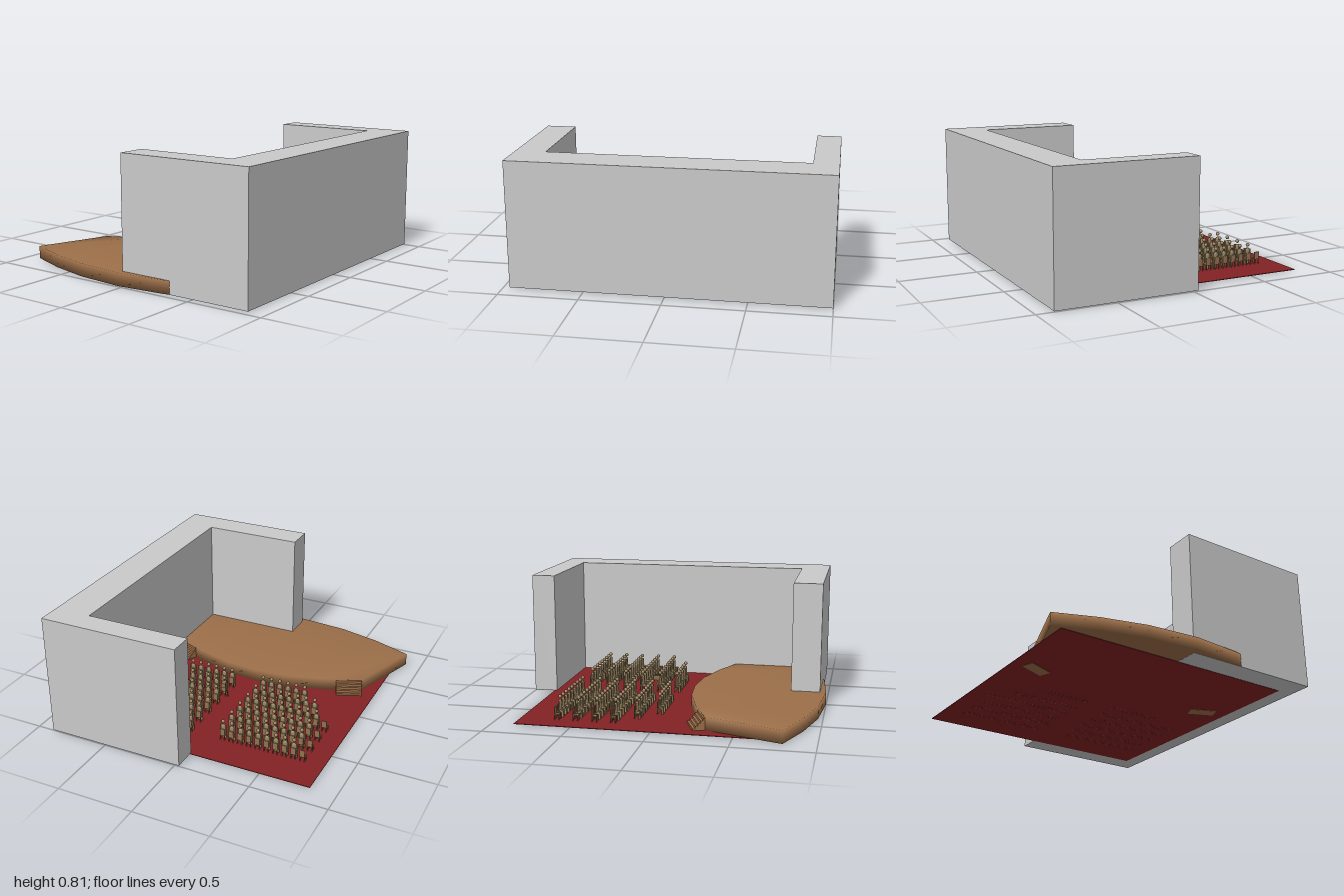
import * as THREE from 'three';

const mat = (name, color, side = THREE.FrontSide) => {
  const m = new THREE.MeshStandardMaterial({ color, side });
  m.name = name;
  return m;
};

export function createModel() {
  const root = new THREE.Group();
  root.name = 'auditorium';
  const grey = mat('wall grey', 0xcacaca);
  const red = mat('carpet red', 0x842224);
  const wood = mat('stage wood', 0x9c6f49);
  const tan = mat('chair tan', 0x8f7350);
  const skin = mat('figure tan', 0x9c8762);

  const add = (parent, name, geo, material, x = 0, y = 0, z = 0) => {
    const m = new THREE.Mesh(geo, material);
    m.name = name;
    m.position.set(x, y, z);
    parent.add(m);
    return m;
  };
  const group = (name, x, z, turn = 0) => {
    const g = new THREE.Group();
    g.name = name;
    g.position.set(x, 0, z);
    g.rotation.y = turn;
    root.add(g);
    return g;
  };

  // U-shaped wall
  const plan = [[-0.96, -0.02], [-0.96, 0.89], [1, 0.89], [1, -0.03],
    [0.845, -0.03], [0.845, 0.65], [-0.77, 0.65], [-0.77, -0.02]];
  const wallShape = new THREE.Shape(plan.map(([x, z]) => new THREE.Vector2(x, -z)));
  const wall = new THREE.ExtrudeGeometry(wallShape, { depth: 0.802, bevelEnabled: false });
  wall.rotateX(-Math.PI / 2);
  add(root, 'wall', wall, grey, 0, 0.004, 0);

  // Carpeted floor
  add(root, 'floor', new THREE.BoxGeometry(1.67, 0.004, 1.61), red, 0.025, 0.004, -0.025);

  // Curved stage: a box section swept between the back arc and the front arc
  const back = [[-0.8, -0.895], [-0.9, -0.63], [-0.97, -0.35], [-1, -0.02], [-0.97, 0.3], [-0.9, 0.58], [-0.8, 0.85]];
  const front = [[-0.32, -0.73], [-0.22, -0.5], [-0.145, -0.25], [-0.125, -0.02], [-0.145, 0.21], [-0.22, 0.46], [-0.32, 0.68]];
  const pos = [], idx = [];
  back.forEach(([bx, bz], i) => {
    const [fx, fz] = front[i];
    pos.push(bx, 0.005, bz, bx, 0.088, bz, fx, 0.088, fz, fx, 0.005, fz);
    if (i === back.length - 1) return;
    for (let j = 0; j < 4; j++) {
      const a = i * 4 + j, b = i * 4 + (j + 1) % 4;
      idx.push(a, b + 4, b, a, a + 4, b + 4);
    }
  });
  const e = (back.length - 1) * 4;
  idx.push(0, 1, 2, 0, 2, 3, e, e + 2, e + 1, e, e + 3, e + 2);
  const stage = new THREE.BufferGeometry();
  stage.setAttribute('position', new THREE.Float32BufferAttribute(pos, 3));
  stage.setIndex(idx);
  stage.computeVertexNormals();
  add(root, 'stage', stage, wood);

  // Steps at both ends of the stage front
  for (const s of [-1, 1]) {
    const stairs = group('stairs', -0.252, -0.025 + s * 0.635, -s * 0.39);
    for (let i = 0; i < 5; i++) {
      const h = 0.082 - i * 0.016;
      add(stairs, 'step', new THREE.BoxGeometry(0.0165, h, 0.175), wood, -0.032 + i * 0.016, h / 2, 0);
    }
  }

  // Shared seat and figure shapes; everyone faces the stage (-x)
  const seatGeo = new THREE.BoxGeometry(0.034, 0.006, 0.034);
  const backGeo = new THREE.BoxGeometry(0.005, 0.046, 0.034);
  const legGeo = new THREE.BoxGeometry(0.005, 0.04, 0.005);
  const torsoGeo = new THREE.CapsuleGeometry(0.017, 0.04, 3, 8);
  torsoGeo.scale(0.6, 1, 1);
  const headGeo = new THREE.SphereGeometry(0.0125, 8, 6);
  const armGeo = new THREE.CylinderGeometry(0.005, 0.005, 0.042, 6);
  const thighGeo = new THREE.BoxGeometry(0.022, 0.01, 0.01);
  const shinGeo = new THREE.BoxGeometry(0.008, 0.044, 0.01);

  const addSeat = (x, z, occupied) => {
    const chair = group('chair', x, z);
    add(chair, 'seat', seatGeo, tan, 0, 0.041, 0);
    add(chair, 'backrest', backGeo, tan, 0.0145, 0.064, 0);
    for (const sx of [-1, 1])
      for (const sz of [-1, 1]) add(chair, 'chairLeg', legGeo, tan, sx * 0.0145, 0.02, sz * 0.0145);
    if (!occupied) return;
    const person = group('person', x, z);
    add(person, 'torso', torsoGeo, skin, 0.001, 0.081, 0);
    add(person, 'head', headGeo, skin, 0, 0.137, 0);
    for (const s of [-1, 1]) {
      add(person, 'arm', armGeo, skin, 0, 0.087, s * 0.02);
      add(person, 'thigh', thighGeo, skin, -0.008, 0.049, s * 0.009);
      add(person, 'shin', shinGeo, skin, -0.0185, 0.026, s * 0.009);
    }
  };

  // Two blocks of seats either side of the aisle
  const pitch = 0.0605;
  [[6, 6], [8, 10], [10, 10], [10, 10], [10, 10], [10, 10]].forEach(([nBack, nFront], c) => {
    const x = 0.02 + c * 0.1205;
    for (let i = 0; i < nBack; i++) addSeat(x, -0.143 - i * pitch, i < 9);
    for (let i = 0; i < nFront; i++) addSeat(x, 0.092 + i * pitch, i < 9);
  });

  // Tripod in the aisle seats
  const tripod = group('tripod', 0.14, 0.09, 0.25);
  add(tripod, 'tripodHead', new THREE.BoxGeometry(0.045, 0.03, 0.03), tan, 0.025, 0.105, 0);
  add(tripod, 'lens', new THREE.CylinderGeometry(0.007, 0.007, 0.03, 8), tan, -0.01, 0.105, 0).rotation.z = Math.PI / 2;
  for (let i = 0; i < 3; i++) {
    const a = Math.PI + i * Math.PI * 2 / 3;
    const foot = new THREE.Vector3(Math.cos(a) * 0.035, 0.001, Math.sin(a) * 0.035);
    const path = new THREE.LineCurve3(foot, new THREE.Vector3(0.01, 0.095, 0));
    add(tripod, 'tripodLeg', new THREE.TubeGeometry(path, 1, 0.003, 5), tan);
  }
  return root;
}
